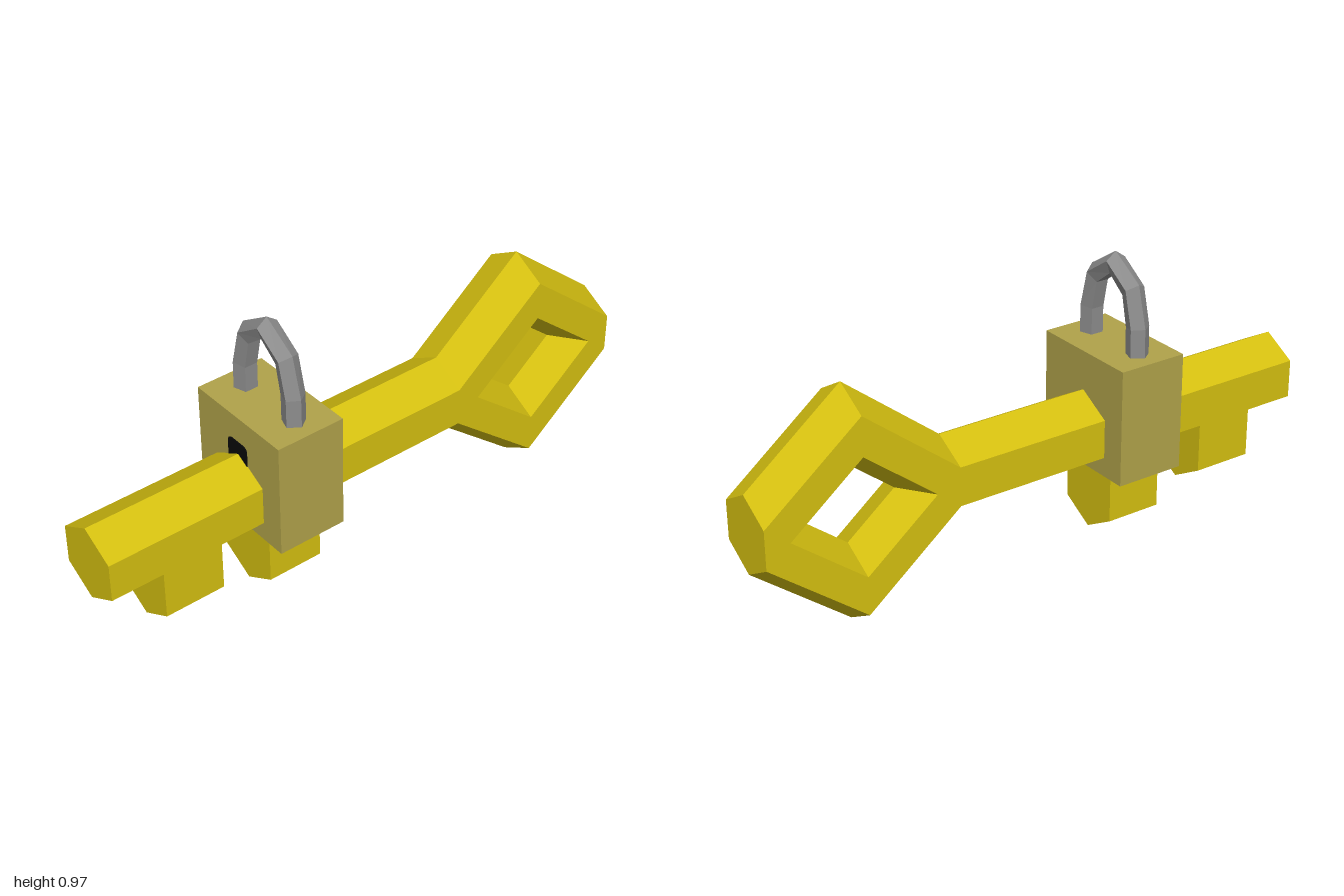
import * as THREE from 'three';

const mat = (name, color) => {
  const m = new THREE.MeshStandardMaterial({ color });
  m.name = name;
  return m;
};

// Closed solid through matching rings of points; rings turn counterclockwise about the travel direction.
function loft(rings) {
  const pos = [];
  const n = rings[0].length;
  const tri = (...pts) => pts.forEach((p) => pos.push(p.x, p.y, p.z));
  for (let i = 0; i < rings.length - 1; i++) {
    for (let j = 0; j < n; j++) {
      const k = (j + 1) % n;
      const a = rings[i][j], b = rings[i][k], c = rings[i + 1][k], d = rings[i + 1][j];
      tri(a, b, c);
      tri(a, c, d);
    }
  }
  const first = rings[0], last = rings[rings.length - 1];
  for (let j = 1; j < n - 1; j++) {
    tri(first[0], first[j + 1], first[j]);
    tri(last[0], last[j], last[j + 1]);
  }
  const g = new THREE.BufferGeometry();
  g.setAttribute('position', new THREE.Float32BufferAttribute(pos, 3));
  g.computeVertexNormals();
  return g;
}

const W = 0.115, SIDE = 0.066, TIP = 0.132, MID = 0.402;

// Upright hexagon at depth z, reaching from centre height "low" up to centre height "high"
const hex = (z, low, high = low) => [
  [0, high + TIP], [-W, high + SIDE], [-W, low - SIDE],
  [0, low - TIP], [W, low - SIDE], [W, high + SIDE],
].map(([x, y]) => new THREE.Vector3(x, y, z));

export function createModel() {
  const gold = mat('gold', 0xd4bf10);
  const brass = mat('brass', 0xb0a24a);
  const steel = mat('steel', 0x8c8c8c);
  const black = mat('black', 0x0a0a0a);

  const model = new THREE.Group();
  const key = new THREE.Group();
  key.name = 'key';
  const padlock = new THREE.Group();
  padlock.name = 'padlock';
  model.add(key, padlock);

  const add = (parent, name, geometry, material) => {
    const mesh = new THREE.Mesh(geometry, material);
    mesh.name = name;
    parent.add(mesh);
    return mesh;
  };

  // Key shaft
  add(key, 'shaft', loft([hex(-0.333, MID), hex(1, MID)]), gold);

  // Diamond bow: one bent hexagonal bar above, one below
  for (const [name, s] of [['bowUpper', 1], ['bowLower', -1]]) {
    const rings = [hex(-1, MID), hex(-0.667, MID + s * 0.267), hex(-0.333, MID)];
    add(key, name, loft(rings), gold);
  }

  // Teeth hanging under the shaft
  for (const [name, z0, z1, bottom] of [['frontTooth', 0.61, 0.82, 0.103], ['rearTooth', 0.24, 0.435, 0.03]]) {
    add(key, name, loft([hex(z0, bottom + TIP, MID), hex(z1, bottom + TIP, MID)]), gold);
  }

  // Padlock body
  const body = add(padlock, 'lockBody', new THREE.BoxGeometry(0.4, 0.397, 0.24), brass);
  body.position.set(0, 0.4685, 0.333);

  // Shackle: five-sided bar with its ridge outward; x, y, outward x, outward y
  const half = [
    [0.119, 0.655, 1, 0],
    [0.118, 0.76, 0.995, 0.1],
    [0.09, 0.876, 0.77, 0.64],
  ];
  const path = [...half, [0, 0.939, 0, 1], ...half.map(([x, y, u, v]) => [-x, y, -u, v]).reverse()];
  const R = 0.0385;
  const rings = path.map(([x, y, u, v]) => Array.from({ length: 5 }, (_, i) => {
    const a = (i / 5) * Math.PI * 2;
    const r = R * Math.cos(a);
    return new THREE.Vector3(x + u * r, y + v * r, 0.333 - R * Math.sin(a));
  }));
  add(padlock, 'shackle', loft(rings), steel);

  // Keyhole plate with rounded upper corners
  const hole = new THREE.Shape();
  hole.moveTo(-0.05, 0.4);
  hole.lineTo(0.043, 0.4);
  hole.lineTo(0.043, 0.557);
  hole.quadraticCurveTo(0.043, 0.577, 0.023, 0.577);
  hole.lineTo(-0.03, 0.577);
  hole.quadraticCurveTo(-0.05, 0.577, -0.05, 0.557);
  const plate = new THREE.ExtrudeGeometry(hole, { depth: 0.006, bevelEnabled: false, curveSegments: 4 });
  add(padlock, 'keyhole', plate, black).position.z = 0.45;

  return model;
}
